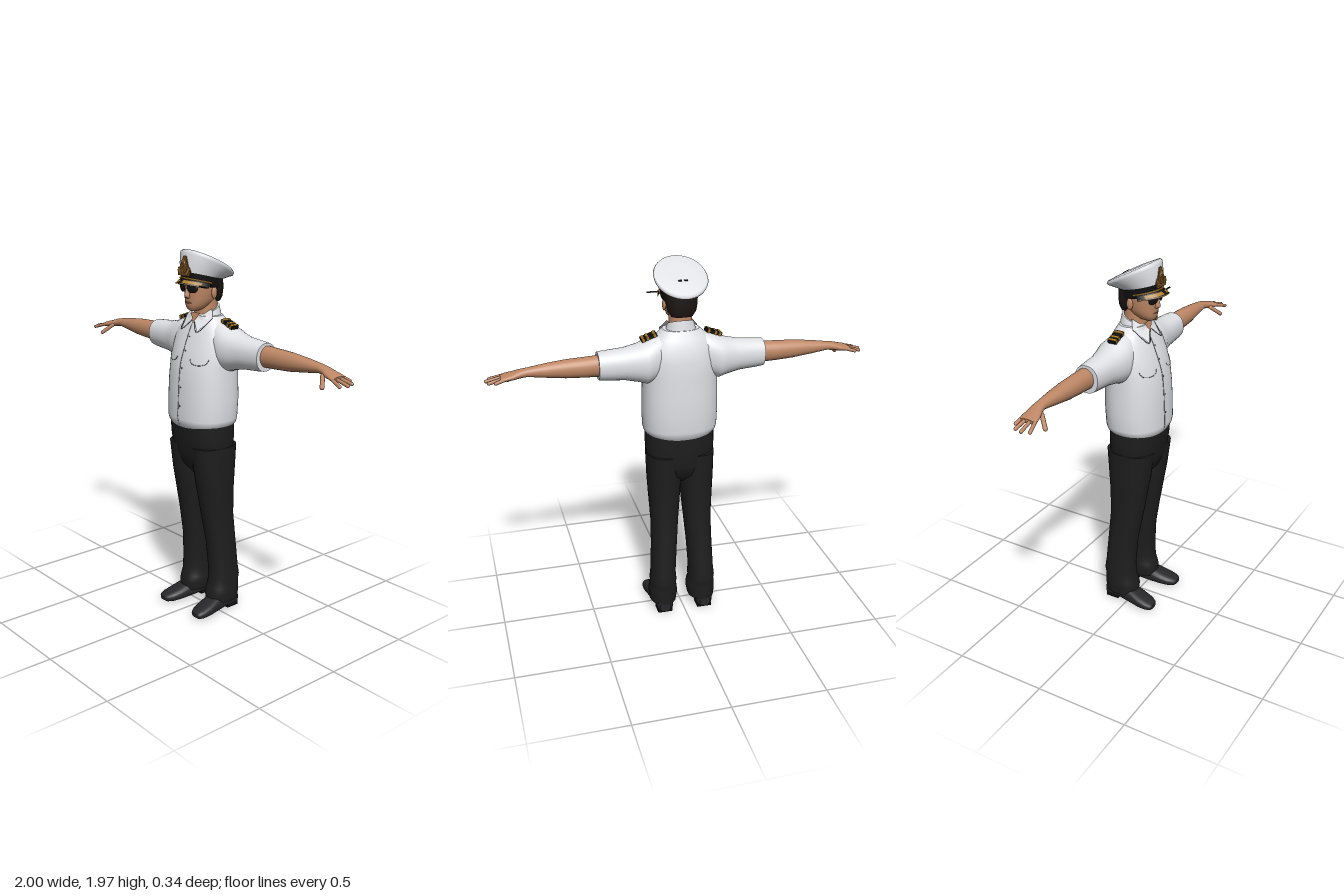
import * as THREE from 'three';
import { mergeVertices } from 'three/addons/utils/BufferGeometryUtils.js';
import { ParametricGeometry } from 'three/addons/geometries/ParametricGeometry.js';

const mat = (name, color, side = THREE.FrontSide) => new THREE.MeshStandardMaterial({ name, color, side });
const V = (x, y, z) => new THREE.Vector3(x, y, z);

// Loft of superellipse sections. Row: [position on axis, u0, u1, v0, v1, slope].
// Axis y: u = x, v = z.  Axis x: u = y, v = z.  Axis z: u = x, v = y.
function loft(axis, rows, p = 2, n = 32) {
  const pos = [], idx = [];
  const put = (w, u, v) => pos.push(...(axis === 'y' ? [u, w, v] : axis === 'x' ? [w, u, v] : [u, v, w]));
  const pw = s => Math.sign(s) * Math.abs(s) ** (2 / p);
  const ring = ([w, u0, u1, v0, v1, k = 0]) => {
    for (let j = 0; j < n; j++) {
      const t = j / n * Math.PI * 2, dv = (v1 - v0) / 2 * pw(Math.sin(t)) * (axis === 'y' ? -1 : 1);
      put(w + k * dv, (u0 + u1) / 2 + (u1 - u0) / 2 * pw(Math.cos(t)), (v0 + v1) / 2 + dv);
    }
  };
  rows.forEach(ring);
  for (let i = 0; i < rows.length - 1; i++) for (let j = 0; j < n; j++) {
    const a = i * n + j, b = i * n + (j + 1) % n;
    idx.push(a, b, a + n, b, b + n, a + n);
  }
  // flat end caps with their own vertices
  [rows[0], rows[rows.length - 1]].forEach((r, e) => {
    const s = pos.length / 3;
    ring(r);
    put(r[0], (r[1] + r[2]) / 2, (r[3] + r[4]) / 2);
    for (let j = 0; j < n; j++) {
      const a = s + j, b = s + (j + 1) % n;
      idx.push(s + n, ...(e ? [a, b] : [b, a]));
    }
  });
  const g = new THREE.BufferGeometry();
  g.setAttribute('position', new THREE.Float32BufferAttribute(pos, 3));
  g.setIndex(idx);
  g.computeVertexNormals();
  return g;
}

function mirrored(geo) {
  const g = geo.index ? geo.clone() : mergeVertices(geo);
  g.scale(-1, 1, 1);
  const a = g.index.array;
  for (let i = 0; i < a.length; i += 3) [a[i], a[i + 1]] = [a[i + 1], a[i]];
  return g;
}

// Rounded rod between two points
function rod(a, b, r) {
  const d = b.clone().sub(a), g = new THREE.CapsuleGeometry(r, d.length() - r, 5, 10);
  g.applyQuaternion(new THREE.Quaternion().setFromUnitVectors(V(0, 1, 0), d.normalize()));
  const c = a.clone().add(b).multiplyScalar(0.5);
  return g.translate(c.x, c.y, c.z);
}
const ball = (x, y, z, rx, ry, rz) => new THREE.SphereGeometry(1, 20, 14).scale(rx, ry, rz).translate(x, y, z);
const box = (w, h, d, x, y, z) => new THREE.BoxGeometry(w, h, d).translate(x, y, z);
const line = (pts, r = 0.0018) => new THREE.TubeGeometry(new THREE.CatmullRomCurve3(pts), 24, r, 5);
function facet(...pts) {
  const g = new THREE.BufferGeometry().setFromPoints(pts);
  g.setIndex(pts.length === 4 ? [0, 2, 1, 0, 3, 2] : [0, 1, 2]);
  g.computeVertexNormals();
  return g;
}

const shirtRows = [
  [1.055, -0.17, 0.17, -0.14, 0.14], [1.075, -0.19, 0.19, -0.153, 0.152], [1.1, -0.197, 0.197, -0.16, 0.157],
  [1.2, -0.2, 0.2, -0.165, 0.153], [1.3, -0.197, 0.197, -0.164, 0.148], [1.4, -0.195, 0.195, -0.16, 0.135],
  [1.48, -0.195, 0.195, -0.157, 0.108], [1.55, -0.183, 0.183, -0.142, 0.08], [1.595, -0.14, 0.14, -0.12, 0.058],
  [1.635, -0.095, 0.095, -0.1, 0.042]];
const SHIRT_POWER = 2.3;
// Point on the shirt front
function onShirt(x, y, lift = 0.001) {
  let i = 0;
  while (i < shirtRows.length - 2 && shirtRows[i + 1][0] < y) i++;
  const a = shirtRows[i], b = shirtRows[i + 1], f = (y - a[0]) / (b[0] - a[0]);
  const [rx, z0, z1] = [2, 3, 4].map(k => a[k] + (b[k] - a[k]) * f);
  const s = Math.max(0, 1 - Math.abs(x / rx) ** SHIRT_POWER) ** (1 / SHIRT_POWER);
  return V(x, y, (z0 + z1) / 2 + (z1 - z0) / 2 * s + lift);
}

export function createModel() {
  const root = new THREE.Group();
  root.name = 'officer';
  const white = mat('white cloth', 0xdfe1e5, THREE.DoubleSide), skin = mat('skin', 0xbd8765, THREE.DoubleSide);
  const trouser = mat('trouser cloth', 0x1e1e1f), shoe = mat('shoe leather', 0x27272a);
  const black = mat('black', 0x111113, THREE.DoubleSide), gold = mat('gold', 0xa9791f, THREE.DoubleSide);
  const hair = mat('hair', 0x1c1613), brown = mat('badge brown', 0x6b4624);
  const seam = mat('seam grey', 0x6d6f73), lip = mat('lips', 0x965c49);
  const add = (name, geo, m) => {
    const mesh = new THREE.Mesh(geo, m);
    mesh.name = name;
    root.add(mesh);
  };
  const pair = (name, geo, m) => {
    add(name + 'Left', geo, m);
    add(name + 'Right', mirrored(geo), m);
  };

  // Shirt
  add('shirt', loft('y', shirtRows, SHIRT_POWER, 48), white);
  pair('sleeve', loft('x', [
    [0.05, 1.42, 1.615, -0.1, 0.03], [0.13, 1.38, 1.608, -0.13, 0.055], [0.19, 1.362, 1.588, -0.145, 0.055],
    [0.23, 1.375, 1.572, -0.135, 0.042], [0.3, 1.39, 1.556, -0.12, 0.03], [0.41, 1.398, 1.548, -0.112, 0.022],
    [0.435, 1.402, 1.545, -0.11, 0.02]], 2.2), white);
  add('collarBand', loft('y', [[1.615, -0.082, 0.082, -0.104, 0.048, -0.3], [1.664, -0.067, 0.067, -0.095, 0.036, -0.4]]), white);
  pair('collarWing', facet(V(0.066, 1.672, -0.01), V(0.008, 1.612, 0.06), V(0.062, 1.56, 0.09), V(0.1, 1.63, 0.015)), white);
  pair('collarEdge', line([V(0.008, 1.612, 0.061), V(0.062, 1.56, 0.091), V(0.1, 1.63, 0.016)]), seam);
  add('openNeck', facet(V(-0.035, 1.65, 0.046), V(0, 1.593, 0.064), V(0.035, 1.65, 0.046)), skin);
  add('placketSeam', line([1.07, 1.1, 1.2, 1.3, 1.4, 1.48, 1.55, 1.59].map(y => onShirt(-0.012, y, 0)), 0.0014), seam);
  for (const y of [1.17, 1.27, 1.37, 1.46, 1.53]) {
    const p = onShirt(0, y, 0);
    add('shirtButton', ball(p.x, p.y, p.z, 0.005, 0.005, 0.003), seam);
  }
  pair('pocketFlapSeam', line([[0.05, 1.425], [0.06, 1.407], [0.1, 1.397], [0.14, 1.407], [0.152, 1.43]]
    .map(([x, y]) => onShirt(x, y, 0))), seam);

  // Shoulder boards with braid
  const board = g => g.rotateZ(-0.34).translate(0.17, 1.604, -0.04);
  pair('shoulderBoard', board(box(0.085, 0.018, 0.046, 0, 0, 0)), black);
  for (const x of [-0.03, 0.008, 0.032]) pair('braid', board(box(0.012, 0.021, 0.049, x, 0, 0)), gold);

  // Bare arms and hands
  pair('arm', loft('x', [
    [0.4, 1.42, 1.532, -0.1, -0.002], [0.5, 1.424, 1.528, -0.1, -0.006], [0.6, 1.43, 1.524, -0.098, -0.01],
    [0.7, 1.443, 1.514, -0.092, -0.02], [0.79, 1.456, 1.501, -0.085, -0.03], [0.825, 1.452, 1.495, -0.087, -0.022],
    [0.86, 1.445, 1.484, -0.09, -0.008], [0.9, 1.442, 1.473, -0.091, 0.003], [0.92, 1.444, 1.465, -0.085, -0.002]], 2.1, 24), skin);
  [[-0.08, 0.95, 1.442, -0.086], [-0.057, 0.983, 1.437, -0.062], [-0.031, 0.994, 1.436, -0.024], [-0.008, 0.976, 1.434, 0.013]]
    .forEach(([z0, x, y, z]) => pair('finger', rod(V(0.9, 1.457, z0), V(x, y, z), 0.009), skin));
  pair('thumb', rod(V(0.835, 1.462, -0.022), V(0.882, 1.413, 0.03), 0.011), skin);

  // Trousers
  add('trouserSeat', loft('y', [
    [0.78, -0.06, 0.06, -0.06, 0.05], [0.83, -0.14, 0.14, -0.115, 0.095], [0.9, -0.178, 0.178, -0.133, 0.122],
    [1.0, -0.184, 0.184, -0.138, 0.135], [1.08, -0.184, 0.184, -0.14, 0.142]], 2.4, 40), trouser);
  pair('trouserLeg', loft('y', [
    [0.055, 0.038, 0.183, -0.142, 0.045], [0.1, 0.03, 0.187, -0.147, 0.05], [0.135, 0.032, 0.186, -0.144, 0.04],
    [0.16, 0.04, 0.18, -0.148, 0.033], [0.19, 0.036, 0.183, -0.152, 0.03], [0.24, 0.04, 0.177, -0.145, 0.028],
    [0.4, 0.03, 0.17, -0.132, 0.038], [0.55, 0.018, 0.167, -0.12, 0.064], [0.7, 0.005, 0.175, -0.12, 0.09],
    [0.8, -0.002, 0.18, -0.126, 0.108], [0.95, -0.002, 0.183, -0.135, 0.127]], 2.2), trouser);

  // Shoes
  pair('shoe', loft('z', [
    [-0.14, 0.085, 0.145, 0.008, 0.07], [-0.125, 0.068, 0.158, 0, 0.085], [-0.05, 0.065, 0.162, 0.004, 0.1],
    [0.03, 0.066, 0.178, 0.002, 0.085], [0.09, 0.074, 0.187, 0, 0.064], [0.135, 0.085, 0.186, 0, 0.052],
    [0.16, 0.1, 0.177, 0.003, 0.042], [0.17, 0.118, 0.162, 0.01, 0.03]], 2.6, 24), shoe);
  pair('shoeHeel', box(0.08, 0.02, 0.075, 0.114, 0.01, -0.093), black);

  // Neck and head
  add('neck', loft('y', [[1.58, -0.068, 0.068, -0.09, 0.035], [1.66, -0.058, 0.058, -0.085, 0.035], [1.74, -0.06, 0.06, -0.085, 0.04]]), skin);
  add('head', loft('y', [
    [1.662, -0.022, 0.022, 0.03, 0.078], [1.672, -0.04, 0.04, 0.0, 0.09], [1.695, -0.059, 0.059, -0.035, 0.095],
    [1.725, -0.071, 0.071, -0.075, 0.096], [1.76, -0.077, 0.077, -0.095, 0.098], [1.8, -0.081, 0.081, -0.1, 0.102],
    [1.84, -0.08, 0.08, -0.095, 0.1]], 2.2), skin);
  add('hair', loft('y', [
    [1.705, -0.055, 0.055, -0.094, -0.03], [1.73, -0.073, 0.073, -0.102, -0.012], [1.77, -0.081, 0.081, -0.107, 0.005],
    [1.83, -0.085, 0.085, -0.106, 0.03]], 2.2), hair);
  add('nose', loft('y', [[1.728, -0.008, 0.008, 0.08, 0.1], [1.735, -0.016, 0.016, 0.08, 0.114],
    [1.745, -0.014, 0.014, 0.08, 0.117], [1.785, -0.008, 0.008, 0.08, 0.106]], 2, 16), skin);
  add('mouth', ball(0, 1.705, 0.093, 0.024, 0.004, 0.006), lip);
  pair('ear', ball(0.081, 1.755, -0.012, 0.009, 0.03, 0.018), skin);

  // Sunglasses
  pair('lens', ball(0, 0, 0, 0.032, 0.024, 0.007).rotateY(0.32).translate(0.039, 1.782, 0.098), black);
  add('glassesBridge', box(0.12, 0.008, 0.006, 0, 1.797, 0.104), black);
  pair('glassesArm', rod(V(0.07, 1.796, 0.085), V(0.085, 1.785, -0.01), 0.003), black);
  add('glassesSideBar', rod(V(0.065, 1.795, 0.09), V(0.144, 1.795, 0.09), 0.004), black);

  // Peaked cap
  const bandTop = [1.837, -0.096, 0.096, -0.104, 0.12, 0.25];
  add('capBand', loft('y', [[1.79, -0.092, 0.092, -0.104, 0.115, 0.25], bandTop], 2, 40), black);
  add('capCrown', loft('y', [bandTop, [1.862, -0.114, 0.114, -0.135, 0.118, 0.38], [1.887, -0.133, 0.133, -0.166, 0.109, 0.5],
    [1.898, -0.137, 0.137, -0.172, 0.104, 0.52], [1.907, -0.131, 0.131, -0.164, 0.095, 0.52],
    [1.913, -0.07, 0.07, -0.1, 0.03, 0.52]], 2, 48), white);
  const arc = (a0, a1, v0, v1, lift) => new ParametricGeometry((s, t, out) => {
    const a = a0 + (a1 - a0) * s, v = v0 + (v1 - v0) * t, c = Math.cos(a);
    out.set((0.093 + 0.01 * v) * Math.sin(a), 1.8 + 0.03 * c - v * 0.024 + lift, 0.01 + (0.107 + 0.038 * v) * c + lift);
  }, 24, 4);
  add('capPeak', arc(-1.35, 1.35, 0, 1, 0), black);
  add('peakRim', arc(-1.3, 1.3, 0.9, 1.0, 0.002), gold);
  pair('peakLeaves', arc(0.12, 1.05, 0.3, 0.78, 0.002), gold);
  const strap = [];
  for (let a = -1.5; a <= 1.51; a += 0.25) strap.push(V(0.096 * Math.sin(a), 1.805 + 0.028 * Math.cos(a), 0.008 + 0.112 * Math.cos(a)));
  add('capStrap', line(strap, 0.005), gold);

  // Cap badge and the two small marks on top
  const crest = new THREE.Shape([[-0.045, 0], [0.045, 0], [0.05, 0.028], [0.03, 0.05], [0.022, 0.075], [0.01, 0.1],
    [-0.01, 0.1], [-0.022, 0.075], [-0.03, 0.05], [-0.05, 0.028]].map(([x, y]) => new THREE.Vector2(x, y)));
  const place = (g, z) => g.translate(0, 0, z).rotateX(-0.08).translate(0, 1.843, 0.117);
  add('badge', place(new THREE.ExtrudeGeometry(crest, { depth: 0.006, bevelEnabled: false }), 0), brown);
  add('badgeRing', place(new THREE.TorusGeometry(0.017, 0.004, 6, 20).translate(0, 0.038, 0), 0.006), gold);
  add('badgeTop', place(box(0.022, 0.01, 0.004, 0, 0.075, 0), 0.007), gold);
  pair('badgeLeaf', place(ball(0, 0, 0, 0.006, 0.022, 0.003).rotateZ(-0.5).translate(0.033, 0.024, 0), 0.007), gold);
  pair('capMark', box(0.018, 0.003, 0.009, 0, 0, 0).rotateX(-0.48).translate(0.015, 1.891, -0.08), black);

  return root;
}
